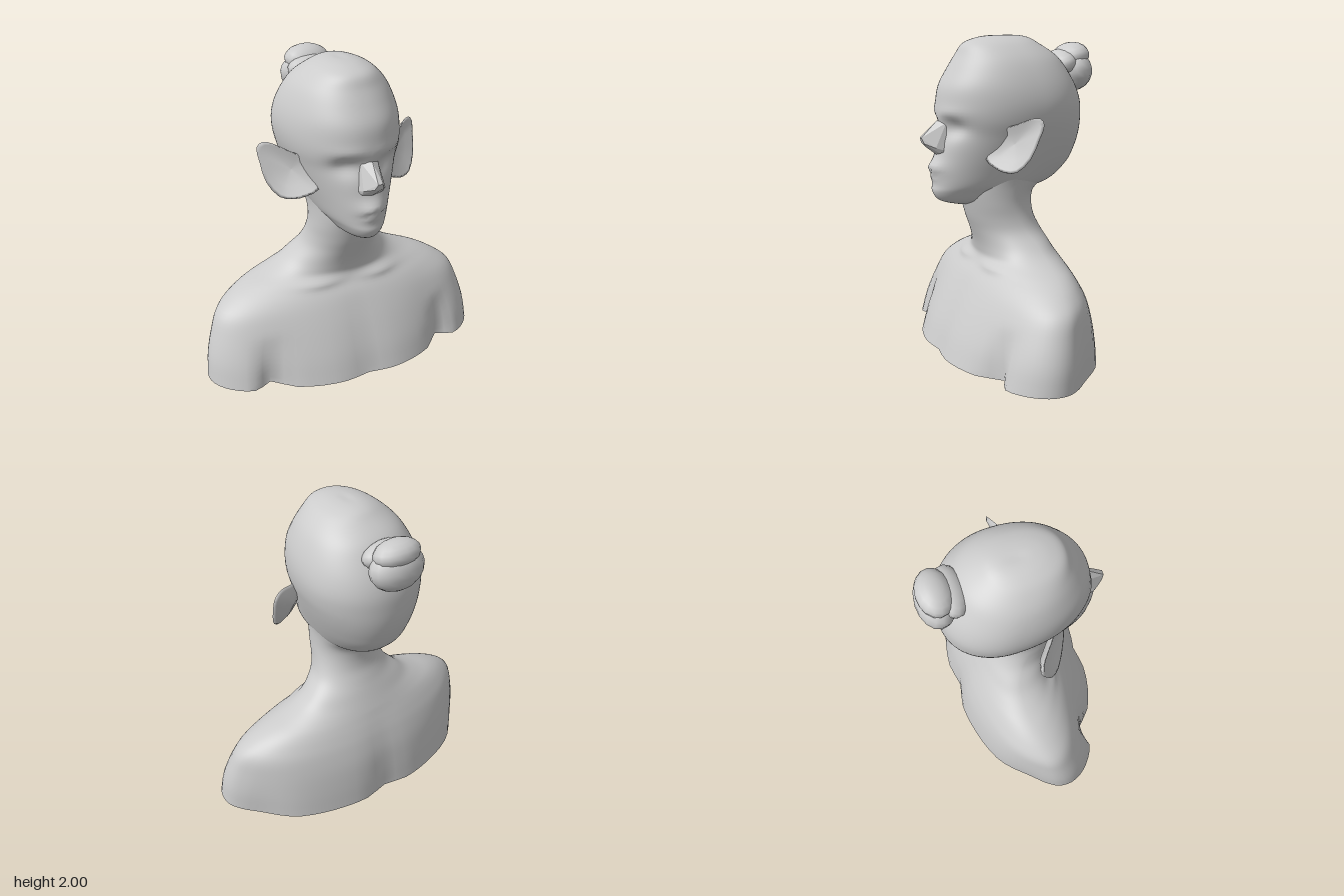
import * as THREE from 'three';
import { ConvexGeometry } from 'three/addons/geometries/ConvexGeometry.js';

const material = new THREE.MeshStandardMaterial({ color: 0xcccccc, side: THREE.DoubleSide });
const flatMaterial = new THREE.MeshStandardMaterial({ color: 0xcccccc, flatShading: true });

const bump = (d, r) => Math.exp(-(d * d) / (r * r));

function part(name, geometry, mat = material) {
  const mesh = new THREE.Mesh(geometry, mat);
  mesh.name = name;
  return mesh;
}

// Smooth skin over closed rings of [x, y, z] points
function skin(rings) {
  const n = rings[0].length, index = [];
  for (let i = 0; i < rings.length - 1; i++) {
    for (let j = 0; j < n; j++) {
      const k = (j + 1) % n;
      const a = i * n + j, b = i * n + k, c = a + n, d = b + n;
      index.push(a, b, d, a, d, c);
    }
  }
  const g = new THREE.BufferGeometry();
  g.setAttribute('position', new THREE.Float32BufferAttribute(rings.flat(2), 3));
  g.setIndex(index);
  g.computeVertexNormals();
  return g;
}

// Rings from sections [y, halfWidth, zFront, zBack, zWidest]; a power below 1 makes them
// fuller than an ellipse, and sculpt returns an offset in z
function loft(sections, steps, segments, power, sculpt) {
  const spline = new THREE.CubicInterpolant(sections.map((s, i) => i), sections.flat(), 5);
  const full = (v) => Math.sign(v) * Math.abs(v) ** power;
  const rings = [], count = (sections.length - 1) * steps;
  for (let i = 0; i <= count; i++) {
    const [y, w, zf, zb, zc] = spline.evaluate(i / steps);
    const ring = [];
    for (let j = 0; j < segments; j++) {
      const t = (j / segments) * Math.PI * 2, c = full(Math.cos(t));
      const x = w * full(Math.sin(t));
      const z = zc + (c > 0 ? zf - zc : zc - zb) * c;
      ring.push([x, y, z + sculpt(Math.abs(x), y, c)]);
    }
    rings.push(ring);
  }
  return skin(rings);
}

// Open-bottomed torso; the neck flares at the top to meet the skull
function makeTorso() {
  const sections = [
    [0, 0.96, 0.515, -0.465, 0.09],
    [0.15, 0.945, 0.46, -0.445, 0.07],
    [0.3, 0.905, 0.39, -0.415, 0.04],
    [0.42, 0.855, 0.325, -0.375, 0.01],
    [0.5, 0.755, 0.275, -0.34, -0.02],
    [0.56, 0.64, 0.225, -0.31, -0.05],
    [0.61, 0.51, 0.2, -0.285, -0.07],
    [0.66, 0.405, 0.205, -0.26, -0.07],
    [0.72, 0.33, 0.22, -0.23, -0.06],
    [0.79, 0.262, 0.245, -0.195, -0.02],
    [0.87, 0.23, 0.275, -0.16, 0.02],
    [0.96, 0.217, 0.3, -0.15, 0.06],
    [1.04, 0.215, 0.32, -0.17, 0.06],
    [1.11, 0.22, 0.32, -0.27, 0.05],
    [1.2, 0.238, 0.3, -0.37, 0.02],
  ];
  return loft(sections, 4, 72, 1, (x, y, c) => {
    const low = Math.max(0, 1 - y / 0.6);
    if (c < 0) {
      const spine = 0.045 * bump(x, 0.11);
      const backOfArm = 0.06 * bump(x - 0.84, 0.13) * Math.min(1, -c * 4);
      return (spine + backOfArm) * low;
    }
    const armpit = -0.09 * bump(x - 0.615, 0.075) * Math.max(0, 1 - y / 0.32);
    const chestSide = -0.035 * bump(x - 0.55, 0.18) * low;
    const sternum = -0.03 * bump(x, 0.1) * low;
    const collarbone = 0.025 * bump(x - 0.22, 0.13) * bump(y - 0.575, 0.03);
    return armpit + chestSide + sternum + collarbone;
  });
}

function makeHead() {
  const sections = [
    [0.955, 0.04, 0.34, 0.1, 0.2],
    [0.975, 0.09, 0.42, 0.05, 0.2],
    [1.0, 0.13, 0.475, 0, 0.15],
    [1.05, 0.17, 0.505, -0.17, 0.1],
    [1.1, 0.21, 0.5, -0.3, 0.04],
    [1.2, 0.255, 0.49, -0.405, -0.03],
    [1.3, 0.295, 0.475, -0.45, -0.07],
    [1.4, 0.33, 0.46, -0.472, -0.09],
    [1.5, 0.358, 0.468, -0.475, -0.09],
    [1.6, 0.367, 0.46, -0.465, -0.09],
    [1.7, 0.352, 0.44, -0.43, -0.07],
    [1.8, 0.315, 0.385, -0.37, -0.04],
    [1.88, 0.265, 0.335, -0.305, -0.01],
    [1.95, 0.19, 0.29, -0.2, 0.02],
    [1.985, 0.12, 0.21, -0.14, 0.03],
    [2.0, 0.055, 0.12, -0.07, 0.03],
    [2.0, 0, 0.03, 0.03, 0.03],
  ];
  return loft(sections, 5, 72, 0.93, (x, y, c) => {
    if (c <= 0) return 0;
    const eyes = -0.05 * bump(x - 0.13, 0.09) * bump(y - 1.455, 0.06);
    const brow = 0.01 * bump(x - 0.13, 0.1) * bump(y - 1.54, 0.035);
    const lips = 0.045 * bump(x, 0.08) * bump(y - 1.19, 0.055);
    const mouth = -0.025 * bump(x, 0.06) * bump(y - 1.175 + x * 0.3, 0.016);
    return eyes + brow + lips + mouth;
  });
}

// Cupped ear: back, rim, hollow, drawn for the model's left
function makeEar() {
  const corners = [
    [0.24, 1.27], [0.31, 1.225], [0.38, 1.205], [0.45, 1.215], [0.51, 1.3],
    [0.53, 1.42], [0.535, 1.5], [0.5, 1.535], [0.44, 1.525], [0.36, 1.485], [0.28, 1.45], [0.24, 1.37],
  ];
  const outline = new THREE.CatmullRomCurve3(
    corners.map(([x, y]) => new THREE.Vector3(x, y, 0)), true).getPoints(24).slice(0, -1);
  const ring = (scale, depth) => outline.map((p) => {
    const x = 0.36 + (p.x - 0.36) * scale, y = 1.37 + (p.y - 1.37) * scale;
    return [x, y, 0.14 - (x - 0.33) * 0.6 + (1.45 - y) * 0.3 + depth];
  });
  return skin([ring(0, -0.07), ring(0.55, -0.055), ring(0.9, -0.02), ring(1, 0),
    ring(0.9, 0.002), ring(0.6, -0.025), ring(0, -0.035)]);
}

function makeNose() {
  const points = [[0, 1.49, 0.472], [0, 1.33, 0.545], [0, 1.28, 0.48]];
  for (const s of [-1, 1]) {
    points.push([s * 0.015, 1.39, 0.578], [s * 0.03, 1.355, 0.565], [s * 0.055, 1.48, 0.43],
      [s * 0.072, 1.33, 0.505], [s * 0.07, 1.295, 0.48], [s * 0.085, 1.31, 0.44]);
  }
  return new ConvexGeometry(points.map((p) => new THREE.Vector3(...p)));
}

export function createModel() {
  const model = new THREE.Group();
  model.name = 'bust';
  model.add(part('torsoAndNeck', makeTorso()), part('head', makeHead()));
  model.add(part('nose', makeNose(), flatMaterial));

  for (const side of [1, -1]) {
    const ear = part(side > 0 ? 'leftEar' : 'rightEar', makeEar());
    ear.scale.x = side;
    model.add(ear);
  }

  // Hair bun: a wide knot under a flatter, upturned fold, joined to the crown
  const bun = new THREE.Group();
  bun.name = 'hairBun';
  const lumps = [
    ['bunKnot', 0, 1.775, -0.46, 0.178, 0.135, 0.118, 0.2],
    ['bunFold', 0, 1.865, -0.455, 0.15, 0.085, 0.11, 0.25],
    ['bunBase', 0, 1.82, -0.37, 0.165, 0.085, 0.1, 0.4],
  ];
  for (const [name, x, y, z, rx, ry, rz, tilt] of lumps) {
    const lump = part(name, new THREE.SphereGeometry(1, 16, 10));
    lump.position.set(x, y, z);
    lump.scale.set(rx, ry, rz);
    lump.rotation.x = tilt;
    bun.add(lump);
  }
  model.add(bun);
  return model;
}
